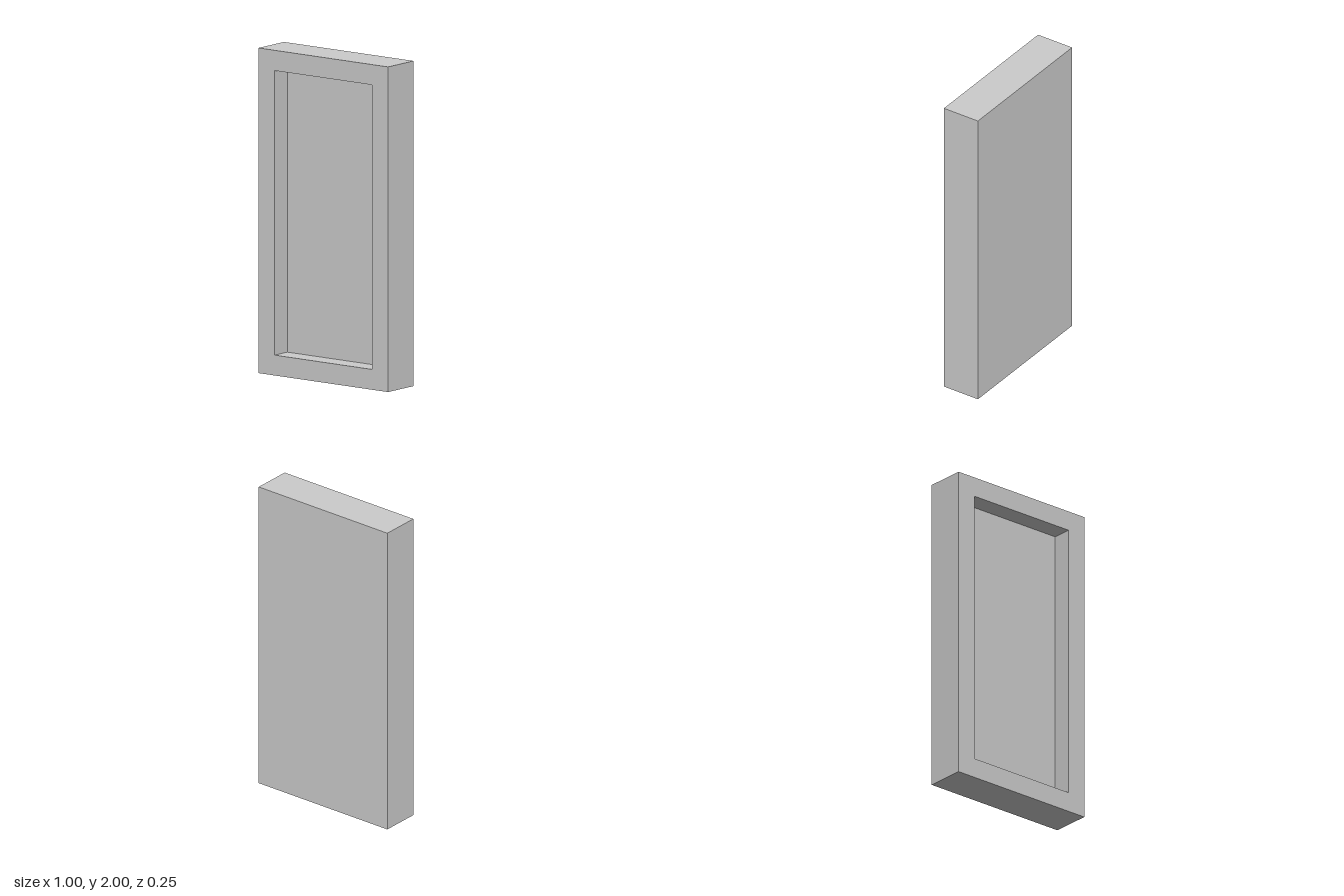
import * as THREE from 'three';

const WIDTH = 1, HEIGHT = 2, DEPTH = 0.25;
const BORDER = 0.125, RECESS = 0.125;

// Four corners of an upright rectangle, anticlockwise seen from the front
function ring(inset, z) {
  const w = WIDTH / 2 - inset;
  return [
    [-w, inset, z], [w, inset, z],
    [w, HEIGHT - inset, z], [-w, HEIGHT - inset, z],
  ];
}

function recessedPanelGeometry() {
  const front = DEPTH / 2;
  // Back edge, front edge, rim of the recess, floor of the recess
  const rings = [
    ring(0, -front), ring(0, front),
    ring(BORDER, front), ring(BORDER, front - RECESS),
  ];
  const positions = [];
  const quad = (a, b, c, d) => positions.push(...[a, b, c, a, c, d].flat());

  // Outer sides, front border and recess walls
  for (let r = 0; r < rings.length - 1; r++) {
    for (let i = 0; i < 4; i++) {
      const j = (i + 1) % 4;
      quad(rings[r][i], rings[r][j], rings[r + 1][j], rings[r + 1][i]);
    }
  }
  quad(...rings[0].slice().reverse()); // back
  quad(...rings[3]); // recess floor

  const geometry = new THREE.BufferGeometry();
  geometry.setAttribute('position', new THREE.Float32BufferAttribute(positions, 3));
  geometry.computeVertexNormals();
  return geometry;
}

export function createModel() {
  const group = new THREE.Group();
  const material = new THREE.MeshStandardMaterial({ color: 0xcccccc, flatShading: true });
  const panel = new THREE.Mesh(recessedPanelGeometry(), material);
  panel.name = 'recessedPanel';
  group.add(panel);
  return group;
}
